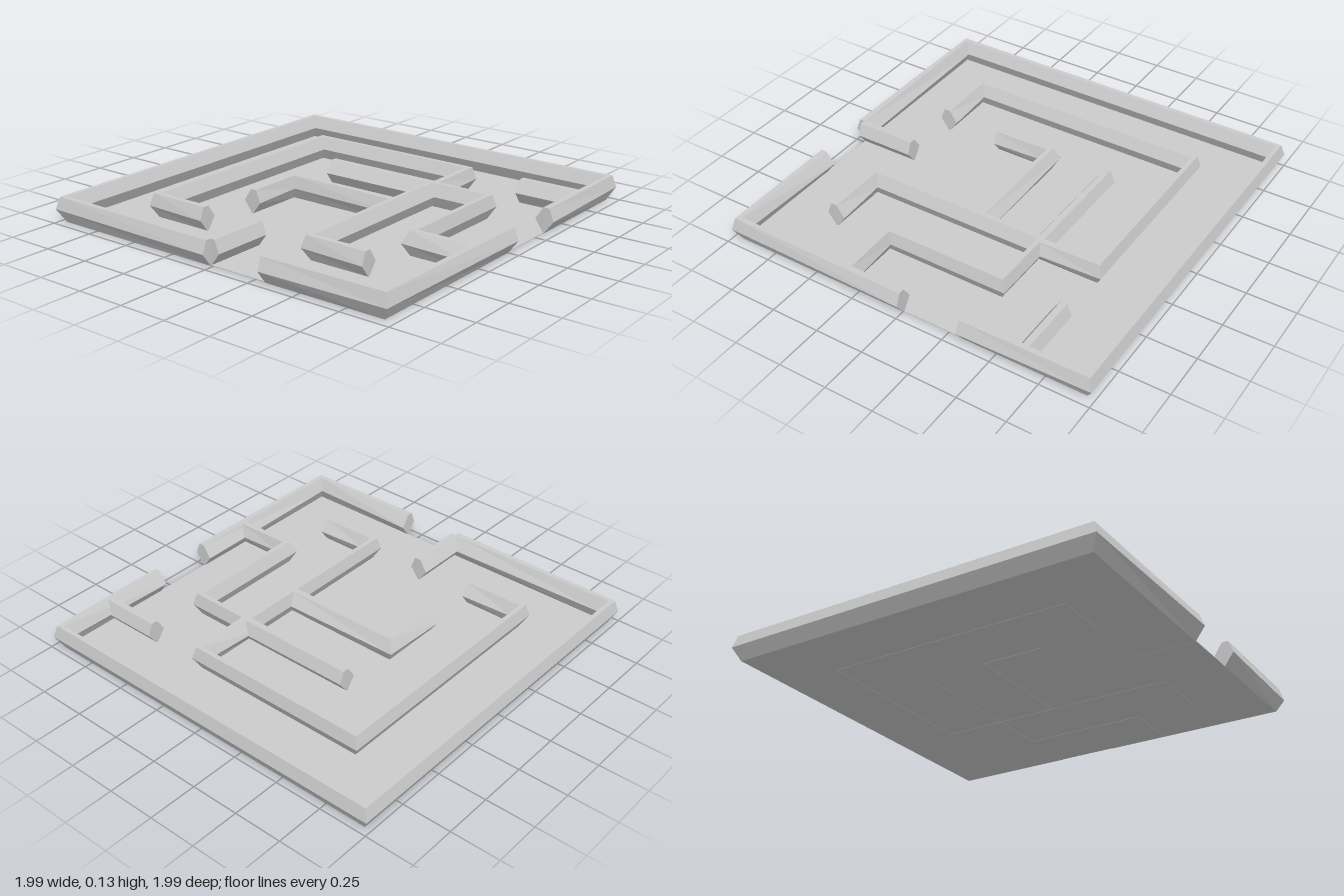
import * as THREE from 'three';

const CELL = 0.318, OX = 0.005, OZ = -0.01;
const gridX = (i) => i * CELL + OX;
const gridZ = (j) => j * CELL + OZ;

// Wall cross-section: [offset to the left of travel, height], counter-clockwise
const PROFILE = [[0.05, 0.067], [0.026, 0.13], [-0.007, 0.13], [-0.048, 0.067], [0, 0]];

// Wall runs as grid corners
const WALLS = {
  outerWall: [[-3, 0], [-3, -3], [3, -3], [3, 3], [1, 3]],
  outerCornerWall: [[0, 3], [-3, 3], [-3, 1]],
  innerWall: [[-2, -1], [-2, -2], [2, -2], [2, 1], [1, 1]],
  windingWall: [[-2, 2], [-2, 1], [1, 1], [1, 2], [-1, 2], [-1, 3]],
  hookWall: [[0, 1], [0, -1], [-1, -1]],
  straightWall: [[1, -1], [1, 1]],
  leftStub: [[-2, 0], [-3, 0]],
  frontStub: [[2, 2], [2, 3]],
};

// Sweeps the profile along a run; corner rings lie on the bisector at full size
function wallGeometry(path) {
  const pts = path.map(([i, j]) => new THREE.Vector3(gridX(i), 0, gridZ(j)));
  const rings = pts.map((p, i) => {
    const dir = new THREE.Vector3();
    if (i > 0) dir.add(p.clone().sub(pts[i - 1]).normalize());
    if (i < pts.length - 1) dir.add(pts[i + 1].clone().sub(p).normalize());
    dir.normalize();
    return PROFILE.map(([u, y]) => [p.x + dir.z * u, y, p.z - dir.x * u]);
  });
  const pos = [];
  const tri = (a, b, c) => pos.push(...a, ...b, ...c);
  const n = PROFILE.length;
  for (let r = 0; r < rings.length - 1; r++) {
    for (let k = 0; k < n; k++) {
      const a = rings[r][k], b = rings[r][(k + 1) % n];
      const c = rings[r + 1][(k + 1) % n], d = rings[r + 1][k];
      tri(a, b, c);
      tri(a, c, d);
    }
  }
  // End caps
  const first = rings[0], last = rings[rings.length - 1];
  for (let k = 1; k < n - 1; k++) {
    tri(first[0], first[k + 1], first[k]);
    tri(last[0], last[k], last[k + 1]);
  }
  const geo = new THREE.BufferGeometry();
  geo.setAttribute('position', new THREE.Float32BufferAttribute(pos, 3));
  geo.computeVertexNormals();
  return geo;
}

export function createModel() {
  const model = new THREE.Group();
  model.name = 'maze';
  const material = new THREE.MeshStandardMaterial({ color: 0xcccccc, flatShading: true });

  // Thin floor slab reaching the centre lines of the outer walls
  const floor = new THREE.Mesh(new THREE.BoxGeometry(6 * CELL, 0.004, 6 * CELL), material);
  floor.name = 'floor';
  floor.position.set(OX, 0.004, OZ);
  model.add(floor);

  for (const [name, path] of Object.entries(WALLS)) {
    const wall = new THREE.Mesh(wallGeometry(path), material);
    wall.name = name;
    model.add(wall);
  }
  return model;
}
